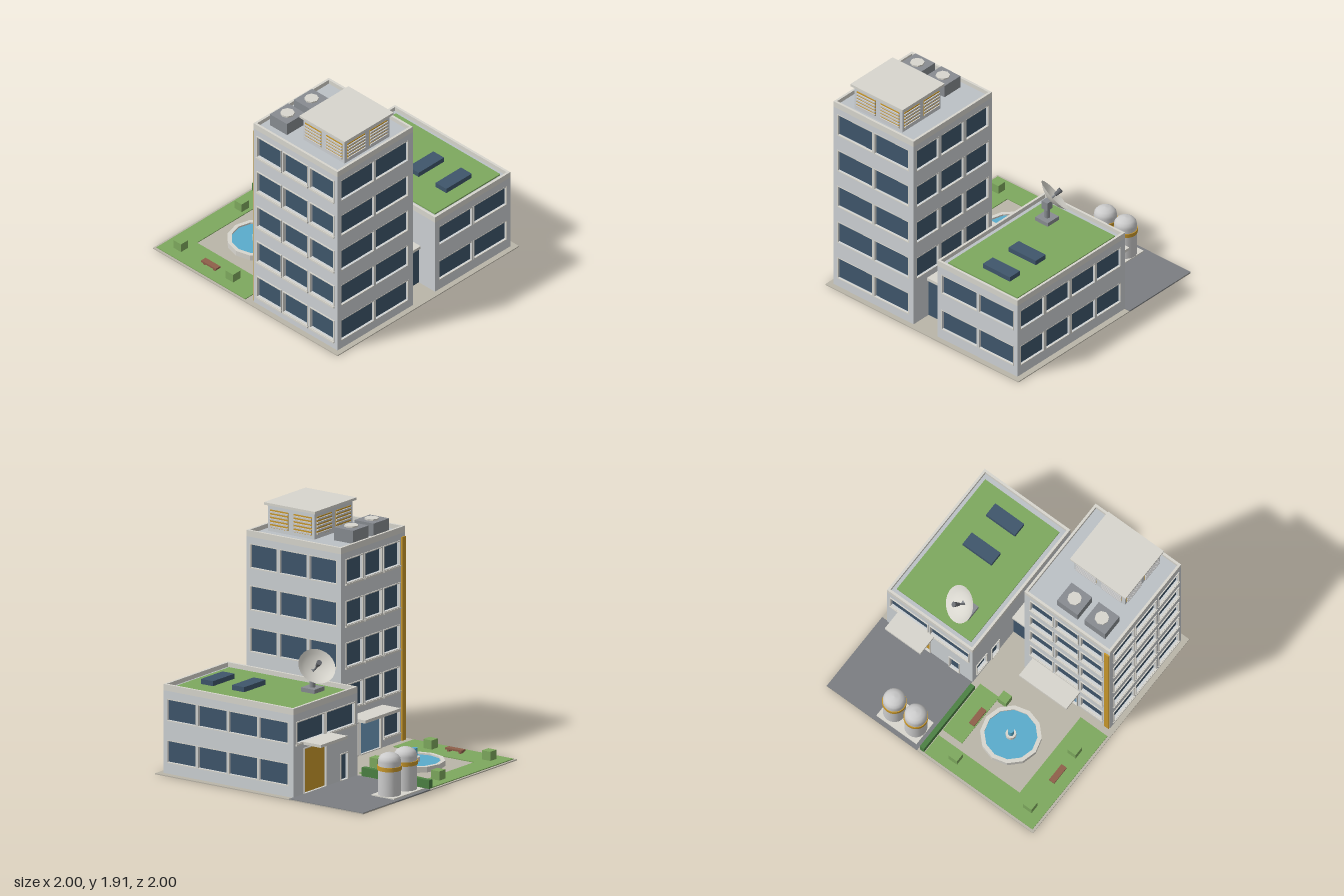
import * as THREE from 'three';

const mat = (color, side = THREE.FrontSide, flatShading = false) =>
  new THREE.MeshStandardMaterial({ color, side, flatShading });
const M = {
  wall: mat(0xcdd1d4), trim: mat(0xd8d6ce), deck: mat(0xbcc1c6), glass: mat(0x3f566b), door: mat(0x6f9dc0),
  gold: mat(0xc9982c), grass: mat(0x7ea95e), hedge: mat(0x4c8143), water: mat(0x5aaccc), paving: mat(0xbab5a8),
  asphalt: mat(0x7b7e82), metal: mat(0x888c91), dark: mat(0x6a6d72), wood: mat(0x8f5f4a), tank: mat(0xdadbde),
  dish: mat(0xd8d6ce, THREE.DoubleSide), stone: mat(0xd8d6ce, THREE.DoubleSide, true),
};
const T = 0.02; // wall thickness

function add(parent, name, geo, material, x = 0, y = 0, z = 0) {
  const m = new THREE.Mesh(geo, material);
  m.name = name;
  m.position.set(x, y, z);
  parent.add(m);
  return m;
}
// Box given by its extents
const box = (p, name, m, x0, x1, y0, y1, z0, z1) =>
  add(p, name, new THREE.BoxGeometry(x1 - x0, y1 - y0, z1 - z0), m, (x0 + x1) / 2, (y0 + y1) / 2, (z0 + z1) / 2);

function rect(C, x0, x1, y0, y1) {
  const s = new C();
  s.moveTo(x0, y0); s.lineTo(x1, y0); s.lineTo(x1, y1); s.lineTo(x0, y1); s.closePath();
  return s;
}
const extrude = (shape, depth) => new THREE.ExtrudeGeometry(shape, { depth, bevelEnabled: false });
function ring(x0, x1, y0, y1, t, depth) {
  const s = rect(THREE.Shape, x0 - t, x1 + t, y0 - t, y1 + t);
  s.holes.push(rect(THREE.Path, x0, x1, y0, y1));
  return extrude(s, depth);
}

// Four outward-facing sides; u is the world x or z coordinate along each wall
const SIDES = {
  front: { rot: 0, along: 'x', sign: 1 }, right: { rot: Math.PI / 2, along: 'z', sign: -1 },
  back: { rot: Math.PI, along: 'x', sign: -1 }, left: { rot: -Math.PI / 2, along: 'z', sign: 1 },
};

// Building of glazed core, pierced walls, parapet and sunken roof deck
function building(name, [x0, x1], [z0, z1], h, deckY, openings) {
  const g = new THREE.Group();
  g.name = name;
  const cx = (x0 + x1) / 2, cz = (z0 + z1) / 2, W = x1 - x0, D = z1 - z0, band = h - 0.05;
  box(g, 'glazedCore', M.glass, x0 + T, x1 - T, 0.01, band, z0 + T, z1 - T);
  for (const [side, { rot, along, sign }] of Object.entries(SIDES)) {
    const w = along === 'x' ? W : D, d = along === 'x' ? D : W, c = along === 'x' ? cx : cz;
    const face = new THREE.Group();
    face.name = side + 'Wall';
    face.position.set(cx, 0, cz);
    face.rotation.y = rot;
    g.add(face);
    const shape = rect(THREE.Shape, -w / 2, w / 2, 0.005, band);
    const proud = side === 'back' || side === 'left';
    for (const [a, b, y0, y1, panel] of openings[side] || []) {
      const [u0, u1] = [(a - c) * sign, (b - c) * sign].sort((p, q) => p - q);
      shape.holes.push(rect(THREE.Path, u0, u1, y0, y1));
      add(face, 'frame', ring(u0, u1, y0, y1, 0.008, 0.012), M.trim, 0, 0, d / 2 - (proud ? 0.004 : 0.011));
      if (proud && !panel && y0 > 0.05) box(face, 'sill', M.trim, u0 - 0.01, u1 + 0.01, y0 - 0.02, y0 - 0.005, d / 2, d / 2 + 0.014);
      if (panel) box(face, 'door', panel, u0, u1, y0, y1, d / 2 - T, d / 2 - 0.012);
    }
    add(face, 'wall', extrude(shape, T), M.wall, 0, 0, d / 2 - T);
  }
  const rim = add(g, 'parapet', ring(x0 + T, x1 - T, -z1 + T, -z0 - T, T, 0.05), M.trim, 0, band, 0);
  rim.rotation.x = -Math.PI / 2;
  box(g, 'roofDeck', M.deck, x0 + T, x1 - T, band - 0.01, deckY, z0 + T, z1 - T);
  return g;
}
const grid = (cols, rows) => rows.flatMap(r => cols.map(c => [...c, ...r]));

function makeTower() {
  const floors = [0, 1, 2, 3, 4].map(i => [0.085 + i * 0.335, 0.27 + i * 0.335]);
  const sideCols = [[0.09, 0.345], [0.375, 0.63], [0.665, 0.915]];
  const backCols = [[-0.88, -0.68], [-0.645, -0.435], [-0.4, -0.19]];
  const g = building('tower', [-0.955, -0.125], [0.045, 0.955], 1.72, 1.685, {
    front: grid([[-0.91, -0.555], [-0.53, -0.18]], floors),
    right: grid(sideCols, floors.slice(1)),
    left: grid(sideCols, floors),
    back: [...grid(backCols, floors.slice(1)), [...backCols[0], ...floors[0]],
      [-0.635, -0.375, 0.015, 0.27, M.door], [-0.34, -0.21, 0.015, 0.27]],
  });
  box(g, 'entranceCanopy', M.trim, -0.665, -0.205, 0.325, 0.35, -0.13, 0.05);
  box(g, 'accentStrip', M.gold, -0.95, -0.905, 0.01, 1.64, 0.033, 0.05);

  // Penthouse with louvres on all sides
  const p = new THREE.Group();
  p.name = 'penthouse';
  p.position.set(-0.555, 0, 0.66);
  g.add(p);
  box(p, 'penthouseWalls', M.wall, -0.248, 0.248, 1.68, 1.895, -0.223, 0.223);
  box(p, 'penthouseRoof', M.trim, -0.27, 0.27, 1.895, 1.915, -0.245, 0.245);
  for (const { rot, along } of Object.values(SIDES)) {
    const face = new THREE.Group();
    face.name = 'louvres';
    face.rotation.y = rot;
    p.add(face);
    const d = along === 'x' ? 0.223 : 0.248, half = along === 'x' ? 0.097 : 0.088;
    for (const u of [-1, 1].map(s => s * (half + 0.026))) {
      box(face, 'louvrePanel', M.gold, u - half, u + half, 1.715, 1.86, d - 0.01, d + 0.004);
      for (let i = 0; i < 5; i++)
        box(face, 'slat', M.tank, u - half, u + half, 1.72 + i * 0.029, 1.733 + i * 0.029, d, d + 0.014);
    }
  }
  // Rooftop cooling units
  for (const x of [-0.75, -0.485]) {
    box(g, 'coolingUnit', M.metal, x - 0.1, x + 0.1, 1.68, 1.79, 0.12, 0.305);
    add(g, 'fan', new THREE.CylinderGeometry(0.056, 0.056, 0.015, 8), M.stone, x, 1.795, 0.212);
  }
  return g;
}

function makeAnnex() {
  const rows = [[0.1, 0.27], [0.435, 0.6]];
  const g = building('annex', [0.12, 0.95], [-0.295, 0.955], 0.72, 0.685, {
    front: grid([[0.17, 0.525], [0.555, 0.905]], rows),
    right: grid([[-0.24, 0.03], [0.055, 0.325], [0.35, 0.62], [0.645, 0.915]], rows),
    back: [...grid([[0.16, 0.525], [0.555, 0.91]], [rows[1]]),
      [0.53, 0.81, 0.015, 0.37, M.gold], [0.25, 0.34, 0.015, 0.22]],
    left: [[-0.24, -0.12, 0.1, 0.27], [-0.05, 0.04, 0.015, 0.23]],
  });
  box(g, 'loadingCanopy', M.trim, 0.49, 0.835, 0.412, 0.435, -0.475, -0.285);
  box(g, 'greenRoof', M.grass, 0.18, 0.9, 0.68, 0.697, -0.235, 0.895);
  for (const z of [0.415, 0.715]) box(g, 'solarPanel', M.glass, 0.43, 0.71, 0.69, 0.737, z - 0.058, z + 0.058);
  g.add(makeDish());
  return g;
}

// Tilted dish with feed horn on a post
function makeDish() {
  const g = new THREE.Group();
  g.name = 'satelliteDish';
  g.position.set(0.365, 0, -0.045);
  box(g, 'dishBase', M.metal, -0.065, 0.065, 0.69, 0.73, -0.065, 0.065);
  add(g, 'post', new THREE.CylinderGeometry(0.024, 0.024, 0.15, 12), M.metal, 0, 0.795, 0);
  box(g, 'mount', M.metal, -0.03, 0.03, 0.81, 0.88, -0.03, 0.03);
  const head = new THREE.Group();
  head.name = 'dishHead';
  head.position.set(0.003, 0.875, -0.025);
  head.quaternion.setFromUnitVectors(new THREE.Vector3(0, 1, 0), new THREE.Vector3(0.4, 0.65, -0.65).normalize());
  g.add(head);
  const profile = [0, 0.3, 0.6, 0.8, 1].map(t => new THREE.Vector2(0.15 * t, 0.055 * t * t));
  add(head, 'reflector', new THREE.LatheGeometry(profile, 24), M.dish);
  add(head, 'feedArm', new THREE.CylinderGeometry(0.008, 0.008, 0.07, 8), M.metal, 0, 0.035, 0);
  add(head, 'feedHorn', new THREE.CylinderGeometry(0.022, 0.013, 0.06, 10), M.dark, 0, 0.09, 0);
  return g;
}

// Walled pool with a central jet
function makeFountain() {
  const g = new THREE.Group();
  g.name = 'fountain';
  g.position.set(-0.385, 0, -0.47);
  const wall = [[0.24, 0.01], [0.24, 0.055], [0.207, 0.055], [0.207, 0.01]].map(p => new THREE.Vector2(...p));
  add(g, 'basin', new THREE.LatheGeometry(wall, 12), M.stone);
  add(g, 'pool', new THREE.CylinderGeometry(0.209, 0.209, 0.03, 12), M.water, 0, 0.027, 0);
  add(g, 'pedestal', new THREE.CylinderGeometry(0.042, 0.042, 0.07, 12), M.stone, 0, 0.045, 0);
  add(g, 'jet', new THREE.CylinderGeometry(0.024, 0.024, 0.07, 12), M.water, 0, 0.115, 0);
  return g;
}

function makeGrounds() {
  const g = new THREE.Group();
  g.name = 'grounds';
  box(g, 'paving', M.paving, -1, 1, 0, 0.008, -1, 1);
  box(g, 'yard', M.asphalt, 0.125, 1, 0.002, 0.012, -1, -0.29);
  box(g, 'lawnBack', M.grass, -0.98, 0.065, 0.004, 0.015, -0.98, -0.8);
  box(g, 'lawnSide', M.grass, -0.98, -0.72, 0.004, 0.015, -0.8, -0.02);
  box(g, 'lawnInner', M.grass, -0.12, 0.065, 0.004, 0.015, -0.745, -0.27);
  box(g, 'hedge', M.hedge, 0.072, 0.112, 0.005, 0.077, -0.98, -0.33);
  for (const [x, z] of [[-0.855, -0.84], [-0.155, -0.87], [-0.855, -0.275], [-0.17, -0.265]])
    box(g, 'shrub', M.grass, x - 0.04, x + 0.04, 0.01, 0.088, z - 0.04, z + 0.04);
  for (const x of [-0.867, -0.09]) {
    box(g, 'benchSeat', M.wood, x - 0.025, x + 0.025, 0.03, 0.045, -0.585, -0.425);
    for (const z of [-0.56, -0.45]) box(g, 'benchLeg', M.wood, x - 0.02, x + 0.02, 0.01, 0.03, z - 0.01, z + 0.01);
  }
  // Storage tanks
  box(g, 'tankPad', M.trim, 0.155, 0.545, 0.005, 0.022, -0.965, -0.745);
  const tank = [[0.09, 0.02], [0.09, 0.29], [0.084, 0.315], [0.068, 0.335], [0.04, 0.35], [0, 0.355]];
  for (const x of [0.247, 0.455]) {
    add(g, 'tank', new THREE.LatheGeometry(tank.map(p => new THREE.Vector2(...p)), 24), M.tank, x, 0, -0.853);
    add(g, 'tankBand', new THREE.CylinderGeometry(0.096, 0.096, 0.033, 24), M.gold, x, 0.237, -0.853);
  }
  return g;
}

export function createModel() {
  const g = new THREE.Group();
  g.name = 'officeCampus';
  g.add(makeGrounds(), makeFountain(), makeTower(), makeAnnex());
  // Glazed link between the buildings
  box(g, 'linkGlass', M.glass, -0.13, 0.125, 0.005, 0.34, 0.23, 0.78);
  box(g, 'linkRoof', M.trim, -0.13, 0.125, 0.34, 0.365, 0.21, 0.8);
  return g;
}
